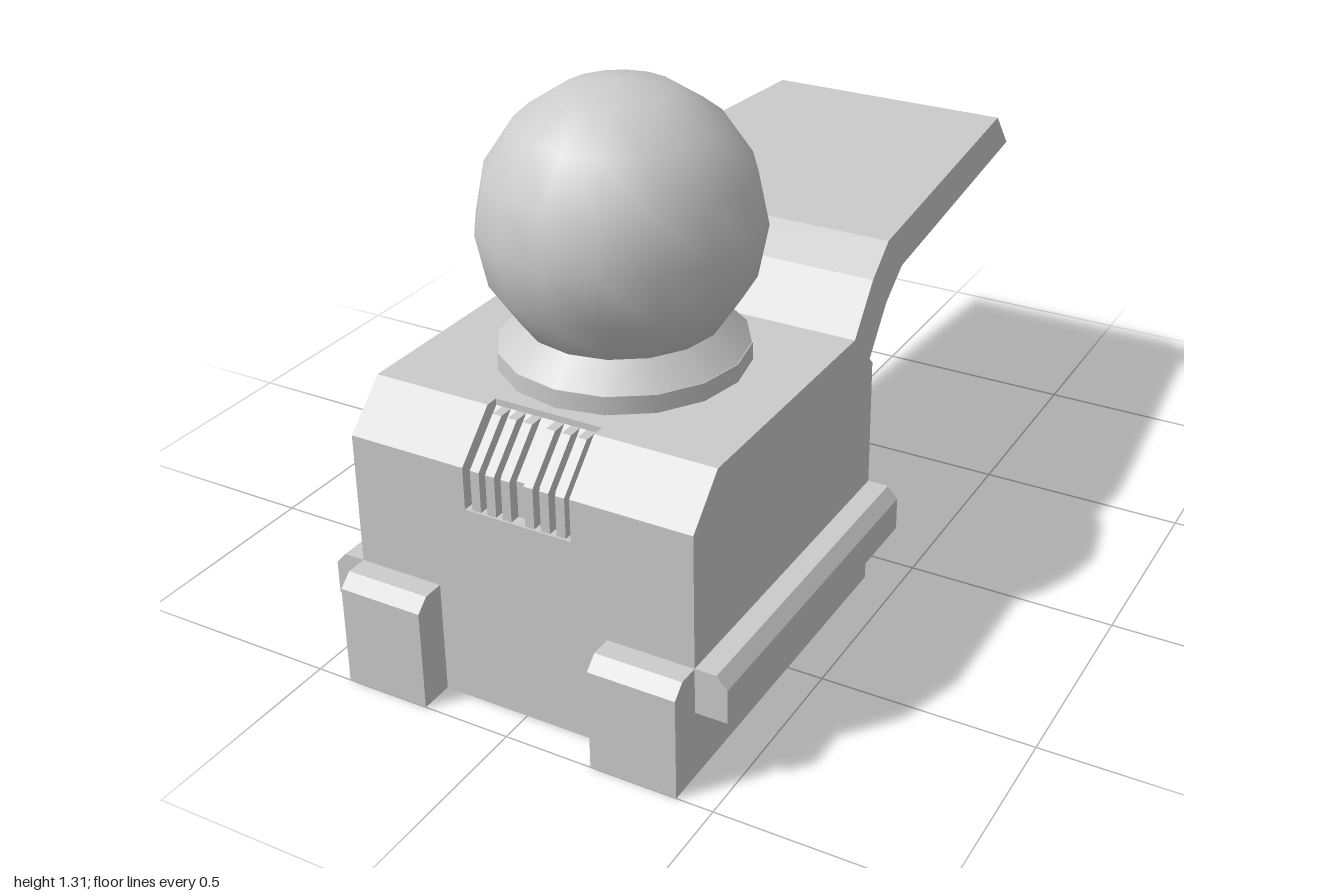
import * as THREE from 'three';

const material = new THREE.MeshStandardMaterial({ color: 0xcccccc });
const HALF = 0.415; // half width of the body

function add(parent, name, geometry) {
  const mesh = new THREE.Mesh(geometry, material);
  mesh.name = name;
  parent.add(mesh);
  return mesh;
}

const shapeOf = points => new THREE.Shape(points.map(p => new THREE.Vector2(...p)));

// Side profile given as [z, y], swept across x from x0 to x1
function sideExtrude(points, x0, x1) {
  const geometry = new THREE.ExtrudeGeometry(shapeOf(points), { depth: x1 - x0, bevelEnabled: false });
  return geometry.rotateY(-Math.PI / 2).translate(x1, 0, 0);
}

export function createModel() {
  const model = new THREE.Group();
  model.name = 'model';

  // Block body, chamfered at the top front and cut at the back for the tail
  const bodyProfile = [[0.09, 0], [0.92, 0], [0.92, 0.58], [0.82, 0.68], [0.19, 0.68], [0.09, 0.58]];
  const grilleHalf = 0.13;
  const body = new THREE.Group();
  body.name = 'body';
  model.add(body);
  add(body, 'bodyRight', sideExtrude(bodyProfile, -HALF, -grilleHalf));
  add(body, 'bodyLeft', sideExtrude(bodyProfile, grilleHalf, HALF));

  // Middle slice with the recess behind the grille
  add(body, 'bodyCentre', sideExtrude([
    [0.09, 0], [0.92, 0], [0.92, 0.48], [0.89, 0.48], [0.89, 0.565],
    [0.79, 0.665], [0.79, 0.68], [0.19, 0.68], [0.09, 0.58],
  ], -grilleHalf, grilleHalf));

  // Grille bars follow the chamfer
  const grille = new THREE.Group();
  grille.name = 'grille';
  model.add(grille);
  const barProfile = [[0.88, 0.48], [0.915, 0.48], [0.915, 0.575], [0.825, 0.665], [0.78, 0.665], [0.88, 0.56]];
  for (const side of [-1, 1]) {
    for (const x of [0.028, 0.066, 0.104]) {
      add(grille, 'grilleBar', sideExtrude(barProfile, side * x - 0.011, side * x + 0.011));
    }
  }

  // Front feet and side rails
  const footProfile = [[0.92, 0], [1, 0], [1, 0.24], [0.97, 0.268], [0.92, 0.268]];
  const railProfile = [[0.41, 0.16], [0.49, 0.16], [0.49, 0.24], [0.465, 0.268], [0.41, 0.268]];
  for (const side of [-1, 1]) {
    const label = side > 0 ? 'Left' : 'Right';
    const inner = side * 0.21, outer = side * HALF;
    add(model, 'foot' + label, sideExtrude(footProfile, Math.min(inner, outer), Math.max(inner, outer)));
    const section = railProfile.map(([x, y]) => [side * x, y]);
    add(model, 'rail' + label, new THREE.ExtrudeGeometry(shapeOf(section), { depth: 0.83, bevelEnabled: false }))
      .position.z = 0.09;
  }

  // Tail plate: bent side profile, narrowing towards the tip
  const tail = sideExtrude([
    [0.19, 0.68], [0.08, 0.78], [-0.02, 0.835], [-0.895, 0.835],
    [-1, 0.73], [-0.125, 0.73], [-0.02, 0.68], [0.09, 0.58],
  ], -HALF, HALF);
  const position = tail.attributes.position;
  for (let i = 0; i < position.count; i++) {
    const t = (0.19 - position.getZ(i)) / 1.19;
    position.setX(i, position.getX(i) * (1 - 0.253 * t));
  }
  tail.computeVertexNormals();
  add(model, 'tail', tail);

  // Collar and ball
  const collar = new THREE.Group();
  collar.name = 'collar';
  collar.position.z = 0.485;
  model.add(collar);
  add(collar, 'collarRing', new THREE.CylinderGeometry(0.28, 0.28, 0.05, 16)).position.y = 0.697;
  add(collar, 'collarCone', new THREE.CylinderGeometry(0.22, 0.28, 0.06, 16)).position.y = 0.75;
  add(model, 'ball', new THREE.SphereGeometry(0.314, 16, 8)).position.set(0, 1, 0.485);

  return model;
}
